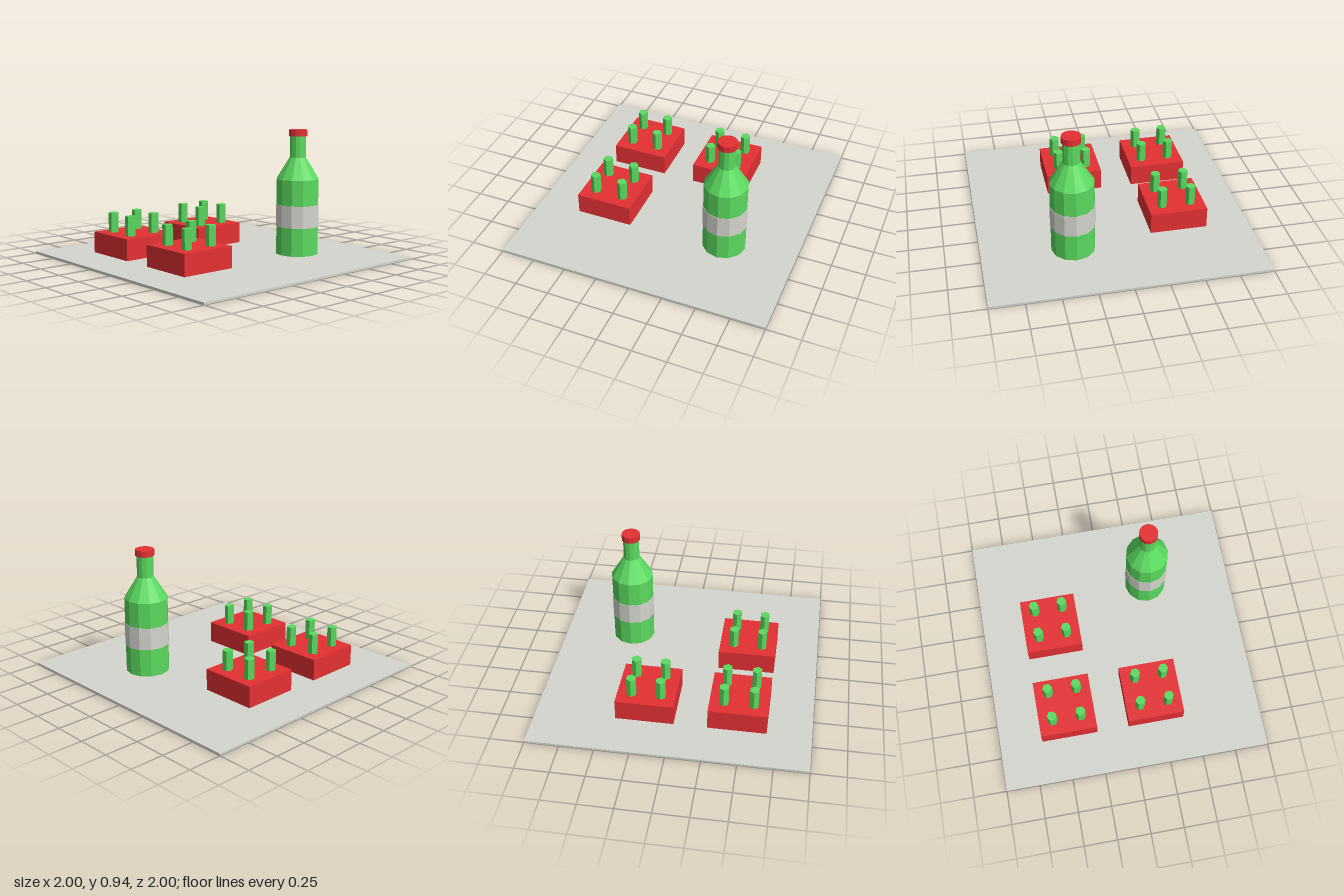
import * as THREE from 'three';

const mat = (name, color) => {
  const m = new THREE.MeshStandardMaterial({ color });
  m.name = name;
  return m;
};

// Unshared vertices give crisp facets
const faceted = (geometry) => {
  const g = geometry.toNonIndexed();
  g.computeVertexNormals();
  return g;
};

export function createModel() {
  const red = mat('red', 0xe53033);
  const green = mat('green', 0x5bdb5f);
  const grey = mat('warm grey', 0xd6d6cf);
  const model = new THREE.Group();
  model.name = 'bottleAndCrates';

  const add = (parent, name, geometry, material, x, y, z) => {
    const mesh = new THREE.Mesh(geometry, material);
    mesh.name = name;
    mesh.position.set(x, y, z);
    parent.add(mesh);
  };

  // Thin floor slab
  add(model, 'floor', new THREE.BoxGeometry(2, 0.015, 2), grey, 0, 0.0075, 0);

  // Crates, each with four hexagonal bottle necks standing out of the top
  const crateGeo = new THREE.BoxGeometry(0.424, 0.173, 0.424);
  const neckGeo = faceted(new THREE.CylinderGeometry(0.037, 0.037, 0.16, 6));
  for (const [x, z] of [[-0.467, -0.467], [0.2, -0.467], [-0.467, 0.197]]) {
    const crate = new THREE.Group();
    crate.name = 'crate';
    crate.position.set(x, 0, z);
    add(crate, 'crateBody', crateGeo, red, 0, 0.0875, 0);
    for (const sx of [-1, 1]) {
      for (const sz of [-1, 1]) {
        add(crate, 'crateBottleNeck', neckGeo, green, sx * 0.107, 0.242, sz * 0.107);
      }
    }
    model.add(crate);
  }

  // Tall twelve-sided bottle
  const bottle = new THREE.Group();
  bottle.name = 'bottle';
  bottle.position.set(0.465, 0, 0.333);
  const profile = [[0, 0.013], [0.16, 0.013], [0.16, 0.58], [0.061, 0.74], [0.061, 0.91], [0, 0.91]]
    .map(([r, y]) => new THREE.Vector2(r, y));
  add(bottle, 'bottleGlass', faceted(new THREE.LatheGeometry(profile, 12)), green, 0, 0, 0);
  add(bottle, 'label', faceted(new THREE.CylinderGeometry(0.163, 0.163, 0.165, 12)), grey, 0, 0.3075, 0);
  add(bottle, 'cap', faceted(new THREE.CylinderGeometry(0.07, 0.07, 0.047, 12)), red, 0, 0.9215, 0);
  model.add(bottle);

  return model;
}
